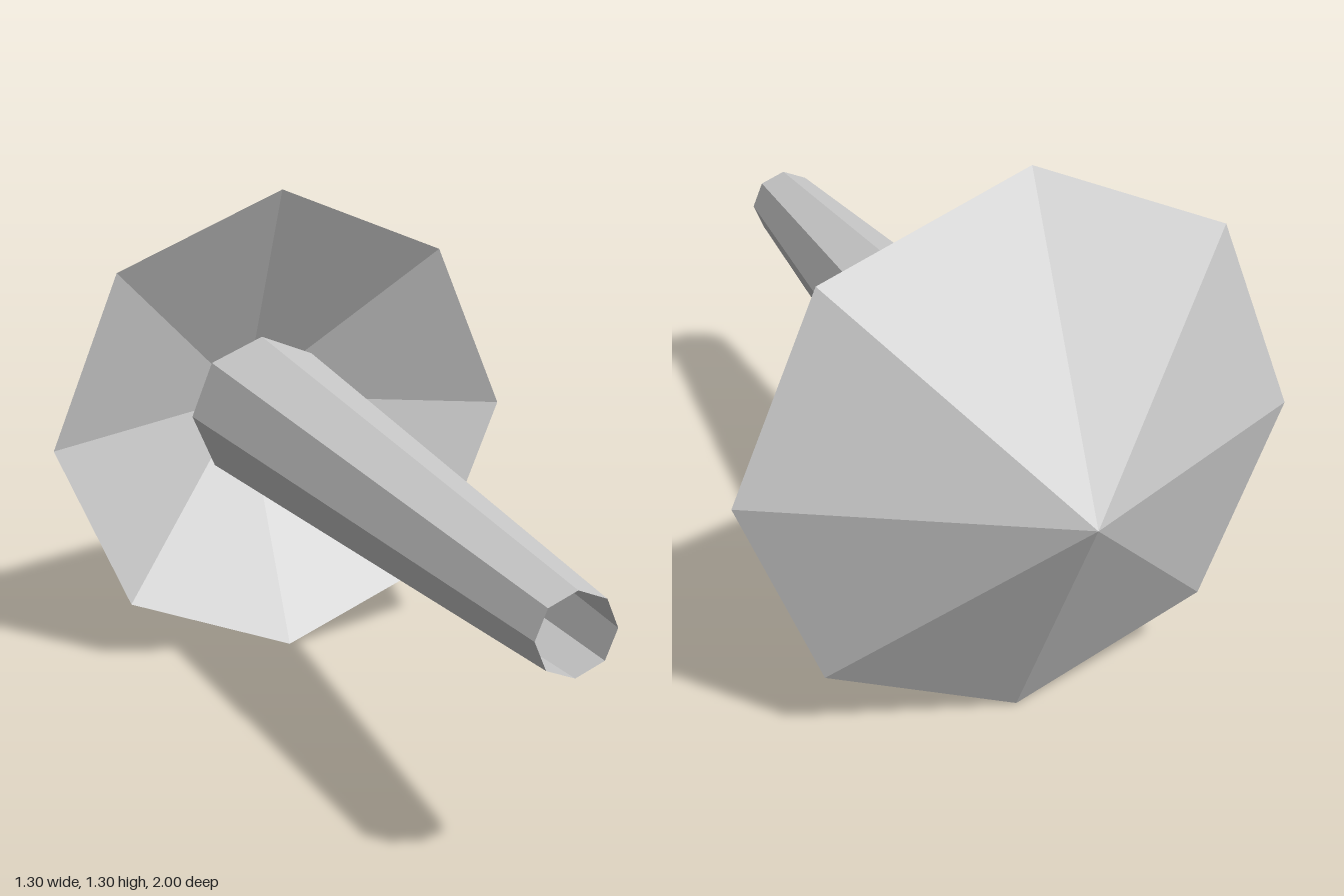
import * as THREE from 'three';

const SIDES = 8;
const AXIS_Y = 0.65;

export function createModel() {
  const group = new THREE.Group();
  const grey = new THREE.MeshStandardMaterial({
    color: 0xcccccc, flatShading: true, side: THREE.DoubleSide,
  });
  grey.name = 'light grey';

  // Open eight-sided shell lying along z, from its back end to its front end
  function addShell(name, backRadius, frontRadius, backZ, frontZ) {
    const geometry = new THREE.CylinderGeometry(
      backRadius, frontRadius, frontZ - backZ, SIDES, 1, true);
    geometry.rotateX(-Math.PI / 2);
    const mesh = new THREE.Mesh(geometry, grey);
    mesh.name = name;
    mesh.position.set(0, AXIS_Y, (backZ + frontZ) / 2);
    group.add(mesh);
  }

  // Hollow cone with its tip at the back
  addShell('coneCap', 0, 0.65, -1, -0.65);
  // Tapered tube, open at both ends, reaching inside the cone
  addShell('taperedStem', 0.211, 0.093, -0.84, 1);

  return group;
}
